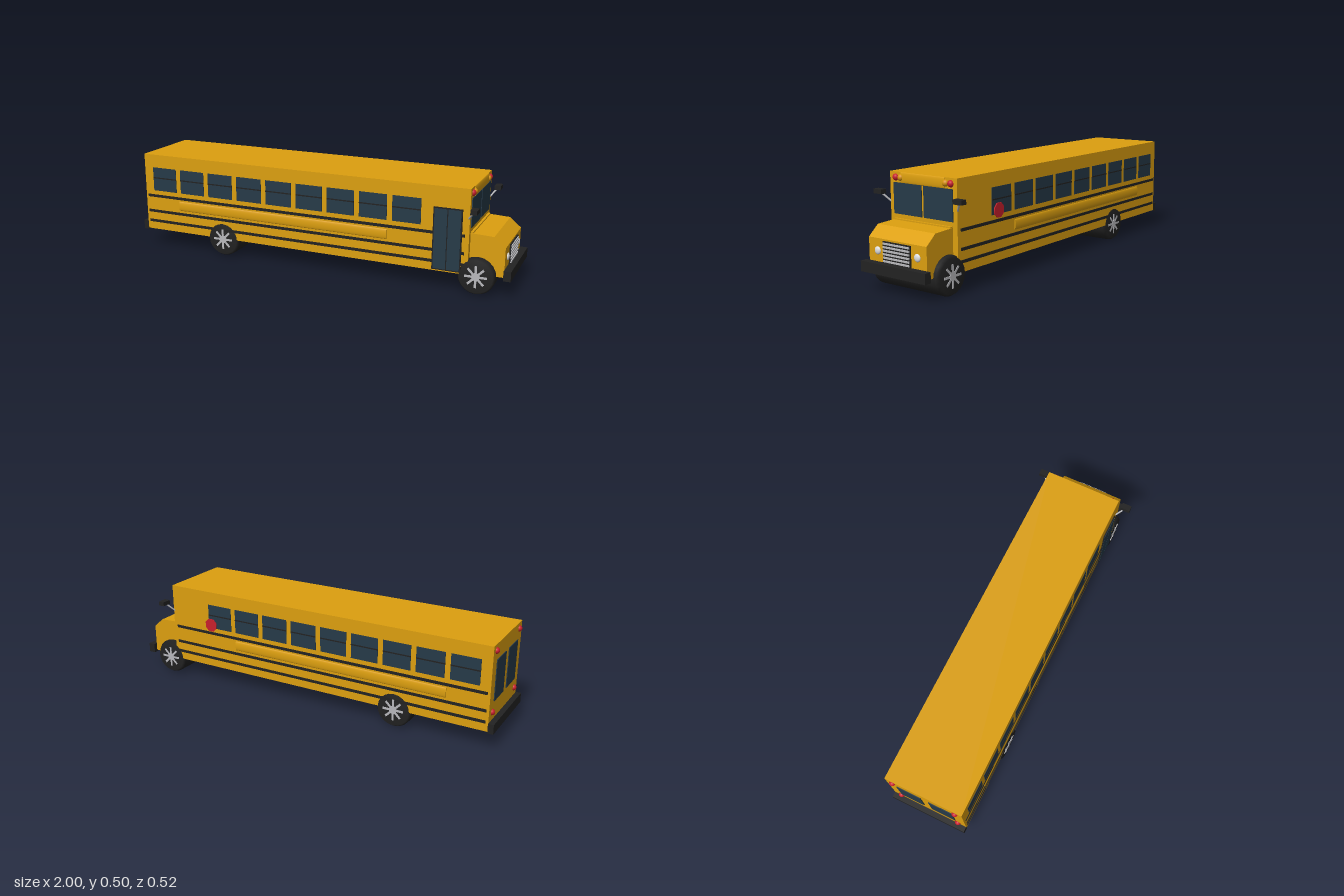
import * as THREE from 'three';

const mat = (name, color) => {
  const m = new THREE.MeshStandardMaterial({ color });
  m.name = name;
  return m;
};

export function createModel() {
  const bus = new THREE.Group();
  bus.name = 'schoolBus';
  const yellow = mat('busYellow', 0xdc9f0f);
  const black = mat('rubberBlack', 0x222222);
  const glass = mat('darkGlass', 0x263a48);
  const silver = mat('silver', 0xb8b8bc);
  const red = mat('signalRed', 0xc8202c);
  const amber = mat('amber', 0xd8920f);
  const white = mat('lampWhite', 0xdedede);

  const add = (name, geometry, material, x = 0, y = 0, z = 0, parent = bus) => {
    const m = new THREE.Mesh(geometry, material);
    m.name = name;
    m.position.set(x, y, z);
    parent.add(m);
    return m;
  };
  // Box given by its minimum and maximum corners
  const box = (name, material, x0, x1, y0, y1, z0, z1, parent = bus) =>
    add(name, new THREE.BoxGeometry(x1 - x0, y1 - y0, z1 - z0), material,
      (x0 + x1) / 2, (y0 + y1) / 2, (z0 + z1) / 2, parent);
  // Thin box standing out from one side wall of the body
  const sidePlate = (name, material, s, x0, x1, y0, y1, depth, parent = bus) => {
    const a = s * 0.195, b = s * (0.197 + depth);
    return box(name, material, x0, x1, y0, y1, Math.min(a, b), Math.max(a, b), parent);
  };
  const lamp = (name, material, x, y, z, r) =>
    add(name, new THREE.SphereGeometry(r, 20, 14), material, x, y, z);

  // Passenger body and chassis
  box('body', yellow, -0.973, 0.8, 0.093, 0.505, -0.197, 0.197);
  box('chassis', black, -0.62, 0.8, 0.088, 0.096, -0.185, 0.185);

  // Hood: side profile extruded across the width
  const profile = new THREE.Shape([
    [0.79, 0.095], [0.965, 0.095], [0.965, 0.238], [0.91, 0.285], [0.79, 0.29],
  ].map(([x, y]) => new THREE.Vector2(x, y)));
  const hoodGeo = new THREE.ExtrudeGeometry(profile, { depth: 0.34, bevelEnabled: false });
  add('hood', hoodGeo, yellow, 0, 0, -0.17);
  box('cowl', yellow, 0.79, 0.812, 0.283, 0.295, -0.168, 0.168);

  // Bumpers
  box('frontBumper', black, 0.965, 1, 0.086, 0.134, -0.19, 0.19);
  box('rearBumper', black, -1, -0.972, 0.086, 0.134, -0.198, 0.198);

  // Grille with bars, headlights
  box('grille', black, 0.96, 0.971, 0.132, 0.23, -0.081, 0.081);
  for (let i = 0; i < 6; i++) {
    const y = 0.143 + i * 0.0155;
    box('grilleBar', silver, 0.968, 0.976, y - 0.004, y + 0.004, -0.077, 0.077);
  }

  // Windshield and destination sign
  for (const s of [-1, 1]) {
    add('windshield', new THREE.BoxGeometry(0.008, 0.142, 0.168), glass, 0.8, 0.386, s * 0.09);
    add('headlight', new THREE.SphereGeometry(0.018, 20, 14), white, 0.965, 0.183, s * 0.117).scale.x = 0.5;
  }
  const sign = add('headerSign', new THREE.CylinderGeometry(0.025, 0.025, 0.26, 24), yellow, 0.8, 0.48, 0);
  sign.rotation.x = Math.PI / 2;
  sign.scale.x = 0.2;

  // Sides: windows, stripes, guard rail and mirrors
  for (const s of [-1, 1]) {
    for (let i = 0; i < 9; i++) {
      const x = -0.922 + i * 0.1685;
      sidePlate('sideWindow', glass, s, x, x + 0.142, 0.31, 0.436, 0.002);
      sidePlate('windowBar', black, s, x, x + 0.142, 0.377, 0.383, 0.004);
    }
    for (const y of [0.28, 0.195, 0.14])
      sidePlate('stripe', black, s, -0.96, 0.78, y - 0.007, y + 0.007, 0.003);
    const rail = add('guardRail', new THREE.CylinderGeometry(0.025, 0.025, 1.165, 24), yellow, -0.183, 0.239, s * 0.197);
    rail.rotation.z = Math.PI / 2;
    rail.scale.z = 0.22;

    const mirror = new THREE.Group();
    mirror.name = 'mirror';
    bus.add(mirror);
    const arm = new THREE.LineCurve3(
      new THREE.Vector3(0.795, 0.365, s * 0.195), new THREE.Vector3(0.826, 0.408, s * 0.232));
    add('mirrorArm', new THREE.TubeGeometry(arm, 1, 0.0045, 8), silver, 0, 0, 0, mirror);
    box('mirrorHead', black, 0.815, 0.846, 0.403, 0.424, s * 0.235 - 0.025, s * 0.235 + 0.025, mirror);
  }

  // Folding entrance door
  sidePlate('doorFrame', black, 1, 0.628, 0.767, 0.1, 0.405, 0.005);
  for (const x of [0.634, 0.7])
    sidePlate('doorPanel', glass, 1, x, x + 0.061, 0.106, 0.399, 0.007);

  // Octagonal stop paddle on the other side
  box('paddleArm', black, 0.533, 0.547, 0.326, 0.34, -0.216, -0.195);
  const paddle = add('stopPaddle', new THREE.CylinderGeometry(0.036, 0.036, 0.005, 8), red, 0.54, 0.333, -0.217);
  paddle.rotation.set(Math.PI / 2, Math.PI / 8, 0);

  // Rear windows
  for (const s of [-1, 1])
    add('rearWindow', new THREE.BoxGeometry(0.008, 0.2, 0.125), glass, -0.973, 0.325, s * 0.083);

  // Signal lamps
  for (const s of [-1, 1]) {
    lamp('frontSignal', red, 0.798, 0.48, s * 0.162, 0.016);
    lamp('frontAmber', amber, 0.798, 0.48, s * 0.132, 0.016);
    lamp('rearSignal', red, -0.972, 0.475, s * 0.16, 0.015);
    lamp('tailLight', red, -0.972, 0.175, s * 0.155, 0.015);
  }

  // Wheels: one broad roller per axle, spoked rims on both ends
  const tyre = [
    [0, -0.2], [0.08, -0.2], [0.09, -0.185], [0.09, 0.185], [0.08, 0.2], [0, 0.2],
  ].map(([r, h]) => new THREE.Vector2(r, h));
  for (const x of [-0.505, 0.84]) {
    const axle = new THREE.Group();
    axle.name = 'axle';
    axle.position.set(x, 0.09, 0);
    bus.add(axle);
    add('tyres', new THREE.LatheGeometry(tyre, 20), black, 0, 0, 0, axle).rotation.x = Math.PI / 2;
    for (const s of [-1, 1]) {
      for (let i = 0; i < 4; i++)
        add('spoke', new THREE.BoxGeometry(0.108, 0.011, 0.004), silver, 0, 0, s * 0.2, axle)
          .rotation.z = i * Math.PI / 4;
      add('hub', new THREE.CylinderGeometry(0.02, 0.02, 0.006, 16), silver, 0, 0, s * 0.2, axle)
        .rotation.x = Math.PI / 2;
    }
  }
  return bus;
}
